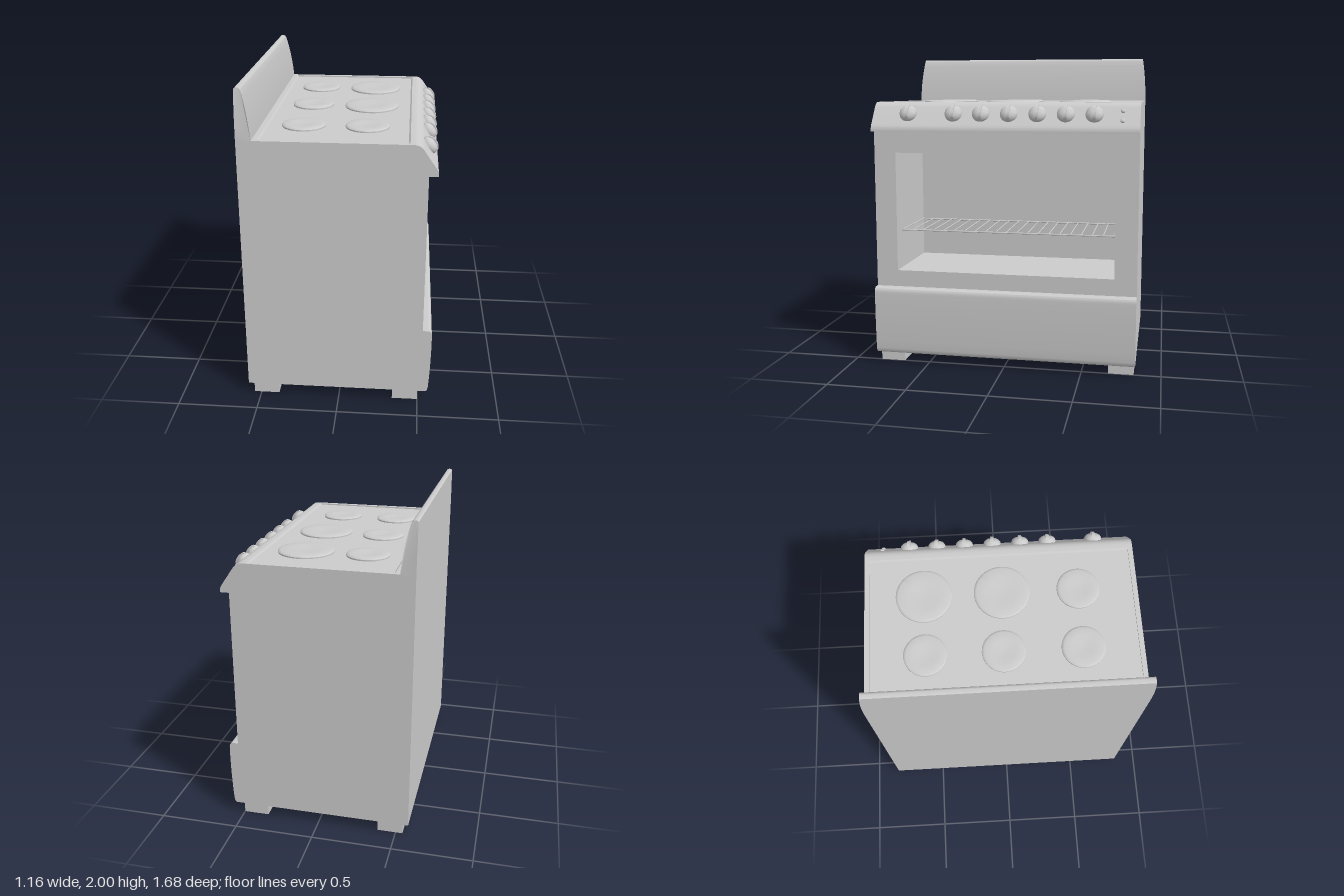
import * as THREE from 'three';
import { toCreasedNormals } from 'three/addons/utils/BufferGeometryUtils.js';

const grey = new THREE.MeshStandardMaterial({ color: 0xcccccc });
const HALF = 0.84;

function add(parent, name, geometry, x = 0, y = 0, z = 0) {
  const mesh = new THREE.Mesh(geometry, grey);
  mesh.name = name;
  mesh.position.set(x, y, z);
  parent.add(mesh);
  return mesh;
}

// Extrude an x/y side profile across the full width of the cooker
function acrossWidth(shape) {
  const g = new THREE.ExtrudeGeometry(shape, { depth: HALF * 2, bevelEnabled: false, curveSegments: 8 });
  return g.translate(0, 0, -HALF);
}

function rectangle(Type, x0, y0, x1, y1) {
  const p = new Type();
  p.moveTo(x0, y0);
  p.lineTo(x1, y0);
  p.lineTo(x1, y1);
  p.lineTo(x0, y1);
  p.closePath();
  return p;
}

function lathe(points, segments = 40) {
  const g = new THREE.LatheGeometry(points.map(([r, y]) => new THREE.Vector2(r, y)), segments);
  return toCreasedNormals(g, 0.7);
}

export function createModel() {
  const cooker = new THREE.Group();
  cooker.name = 'cooker';

  // Cabinet: solid rear and a front section with the open oven cavity
  const cavityBack = -0.05, front = 0.52, base = 0.07, bodyTop = 1.515;
  add(cooker, 'cabinetRear', new THREE.BoxGeometry(cavityBack + 0.58, bodyTop - base, HALF * 2),
    (cavityBack - 0.58) / 2, (base + bodyTop) / 2, 0);
  const frame = rectangle(THREE.Shape, -HALF, base, HALF, bodyTop);
  frame.holes.push(rectangle(THREE.Path, -0.7, 0.615, 0.7, 1.38));
  const frameGeo = new THREE.ExtrudeGeometry(frame, { depth: front - cavityBack, bevelEnabled: false });
  add(cooker, 'ovenFrame', frameGeo.rotateY(Math.PI / 2), cavityBack, 0, 0);

  // Worktop, sloping control panel and splashback in one profile
  const top = new THREE.Shape();
  top.moveTo(-0.58, 1.515);
  top.lineTo(0.575, 1.515);
  top.quadraticCurveTo(0.578, 1.54, 0.562, 1.562);
  top.lineTo(0.49, 1.667);
  top.quadraticCurveTo(0.468, 1.7, 0.43, 1.7);
  top.lineTo(0.41, 1.7);
  top.lineTo(0.4, 1.691);
  top.lineTo(-0.45, 1.691);
  top.lineTo(-0.46, 1.7);
  top.lineTo(-0.49, 1.7);
  top.quadraticCurveTo(-0.505, 1.86, -0.538, 1.98);
  top.quadraticCurveTo(-0.545, 2, -0.56, 2);
  top.lineTo(-0.572, 2);
  top.lineTo(-0.58, 1.992);
  for (const y of [1.95, 1.88, 1.8, 1.7]) top.lineTo(-0.58, y);
  const topGeo = acrossWidth(top);
  const pos = topGeo.attributes.position;
  for (let i = 0; i < pos.count; i++) {
    const t = Math.max(0, (pos.getY(i) - 1.7) / 0.3);
    pos.setZ(i, pos.getZ(i) * (1 - 0.028 * t * t));
  }
  add(cooker, 'worktopAndSplashback', toCreasedNormals(topGeo, 0.5));

  // Raised strips closing the two ends of the recessed hob
  for (const s of [-1, 1]) {
    add(cooker, 'hobEdge', new THREE.BoxGeometry(0.87, 0.01, 0.03), -0.025, 1.695, s * 0.825);
  }

  // Hot plates, slightly dished
  const plates = [
    [-0.235, -0.475, 0.133], [0.15, -0.475, 0.173],
    [-0.235, -0.005, 0.133], [0.15, 0.005, 0.173],
    [-0.235, 0.475, 0.133], [0.15, 0.475, 0.133],
  ];
  for (const [x, z, r] of plates) {
    const plate = lathe([[r, 0], [r, 0.008], [r - 0.006, 0.014], [r - 0.016, 0.017],
      [r * 0.55, 0.016], [r * 0.25, 0.012], [0, 0.011]], 48);
    add(cooker, 'hotPlate', plate, x, 1.691, z);
  }

  // Controls stand square to the sloping panel (local y is outward)
  const tilt = -Math.atan2(0.105, 0.072);
  const onPanel = (name, x, y, z) => {
    const g = new THREE.Group();
    g.name = name;
    g.position.set(x, y, z);
    g.rotation.z = tilt;
    cooker.add(g);
    return g;
  };
  for (const z of [0.608, 0.315, 0.14, -0.037, -0.215, -0.39, -0.565]) {
    const knob = onPanel('controlKnob', 0.518, 1.626, z);
    add(knob, 'knobBody', lathe([[0.054, -0.012], [0.055, 0.008], [0.052, 0.02],
      [0.042, 0.032], [0.026, 0.04], [0, 0.043]], 28));
    const grip = new THREE.CylinderGeometry(0.052, 0.052, 0.02, 24, 1, false, 0, Math.PI);
    grip.rotateX(Math.PI / 2).rotateY(0);
    const bar = new THREE.Shape();
    bar.moveTo(-0.052, 0);
    bar.lineTo(-0.05, 0.025);
    bar.quadraticCurveTo(-0.04, 0.052, 0, 0.052);
    bar.quadraticCurveTo(0.04, 0.052, 0.05, 0.025);
    bar.lineTo(0.052, 0);
    const barGeo = new THREE.ExtrudeGeometry(bar, { depth: 0.02, bevelEnabled: false, curveSegments: 8 });
    add(knob, 'knobGrip', toCreasedNormals(barGeo, 0.6), 0, 0, -0.01);
  }
  for (const [x, y] of [[0.502, 1.65], [0.542, 1.592]]) {
    const lamp = onPanel('indicatorLamp', x, y, -0.735);
    add(lamp, 'lampDome', lathe([[0.015, -0.004], [0.014, 0.006], [0.009, 0.011], [0, 0.013]], 20));
  }

  // Oven rack: rods running front to back between two cross rails
  const rack = new THREE.Group();
  rack.name = 'ovenRack';
  rack.position.y = 0.866;
  cooker.add(rack);
  const rackBack = cavityBack + 0.01, rackFront = 0.42;
  for (const x of [rackBack, rackFront]) {
    add(rack, 'rackRail', new THREE.CylinderGeometry(0.005, 0.005, 1.4, 8).rotateX(Math.PI / 2), x, 0, 0);
  }
  for (let i = 0; i <= 20; i++) {
    const rod = new THREE.CylinderGeometry(0.004, 0.004, rackFront - rackBack, 8).rotateZ(Math.PI / 2);
    add(rack, 'rackRod', rod, (rackBack + rackFront) / 2, 0.004, -0.69 + i * 0.069);
  }

  // Bottom drawer with rounded front
  const drawer = new THREE.Shape();
  drawer.moveTo(0.515, 0.07);
  drawer.lineTo(0.55, 0.07);
  drawer.quadraticCurveTo(0.563, 0.075, 0.566, 0.11);
  drawer.quadraticCurveTo(0.578, 0.28, 0.577, 0.47);
  drawer.quadraticCurveTo(0.577, 0.508, 0.555, 0.509);
  drawer.lineTo(0.515, 0.509);
  add(cooker, 'drawer', toCreasedNormals(acrossWidth(drawer), 0.6));

  // Feet
  for (const x of [-0.465, 0.42]) {
    for (const z of [-0.75, 0.75]) {
      add(cooker, 'foot', new THREE.BoxGeometry(0.16, 0.07, 0.16), x, 0.035, z);
    }
  }

  return cooker;
}
